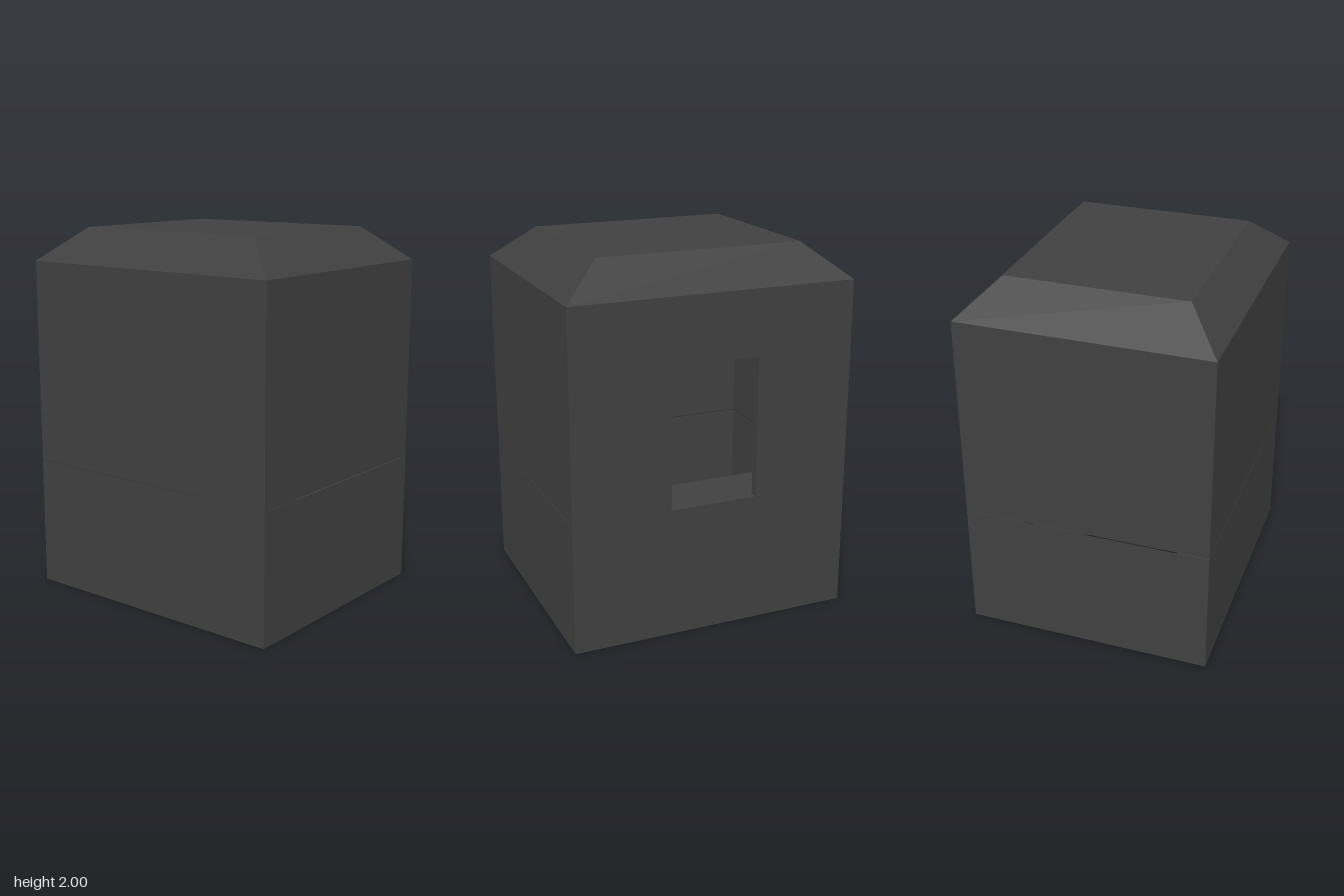
import * as THREE from 'three';

const W = 0.775, D = 0.67;        // half width and half depth
const EAVE = 1.82, SEAM = 0.705;  // wall top and joint between the storeys

export function createModel() {
  const group = new THREE.Group();
  const stone = new THREE.MeshStandardMaterial({ color: 0x404040, side: THREE.DoubleSide });
  stone.name = 'dark grey';

  const add = (name, geometry) => {
    const mesh = new THREE.Mesh(geometry, stone);
    mesh.name = name;
    group.add(mesh);
    return mesh;
  };

  // corners of a rectangle, running front, right, back, left
  const ring = (w, d, y) => [[-w, y, d], [w, y, d], [w, y, -d], [-w, y, -d]];

  // thin flat-shaded band joining two rings; a number of sides can be left open
  const band = (name, low, high, sides = [0, 1, 2, 3]) => {
    const pts = [];
    for (const i of sides) {
      const j = (i + 1) % 4;
      pts.push(low[i], low[j], high[j], low[i], high[j], high[i]);
    }
    const g = new THREE.BufferGeometry();
    g.setAttribute('position', new THREE.Float32BufferAttribute(pts.flat(), 3));
    g.computeVertexNormals();
    return add(name, g);
  };

  // walls, with a hairline joint
  band('lowerWalls', ring(W, D, 0), ring(W, D, SEAM));
  band('upperWalls', ring(W, D, SEAM + 0.004), ring(W, D, EAVE), [0, 1, 3]);

  // back wall with the opening
  const wall = new THREE.Shape([
    [-W, SEAM], [W, SEAM], [W, EAVE], [-W, EAVE],
  ].map(p => new THREE.Vector2(...p)));
  wall.holes.push(new THREE.Path([
    [-0.24, SEAM + 0.002], [-0.24, 1.47], [0.24, 1.47], [0.24, SEAM + 0.002],
  ].map(p => new THREE.Vector2(...p))));
  add('backWall', new THREE.ExtrudeGeometry(wall, { depth: 0.045, bevelEnabled: false }))
    .position.z = -D;

  // hollow bevelled roof
  band('roofSlopes', ring(W, D, EAVE), ring(0.557, 0.48, 2));
  const cap = add('roofTop', new THREE.PlaneGeometry(1.114, 0.96).rotateX(-Math.PI / 2));
  cap.position.y = 2;

  // slab whose underside runs from y0 to y1 along the given axis
  const slab = (name, x0, x1, z0, z1, y0, y1 = y0, axis = 'X', thick = 0.06) => {
    const g = new THREE.BoxGeometry(x1 - x0, thick, z1 - z0);
    g.translate((x0 + x1) / 2, thick / 2, (z0 + z1) / 2);
    const p = g.attributes.position;
    for (let i = 0; i < p.count; i++) {
      const t = axis === 'X' ? (p.getX(i) - x0) / (x1 - x0) : (p.getZ(i) - z0) / (z1 - z0);
      p.setY(i, p.getY(i) + y0 + (y1 - y0) * t);
    }
    g.computeVertexNormals();
    add(name, g);
  };

  // ramp climbing around the inside, from the bottom landing to the opening
  const ox = W - 0.003, oz = D - 0.003, ix = 0.53, iz = 0.34;
  slab('bottomLanding', -ox, ox, -oz, -iz, 0.001);
  slab('rightRamp', -ox, -ix, -iz, iz, 0.001, 0.12, 'Z');
  slab('frontRightLanding', -ox, -ix, iz, oz, 0.12);
  slab('frontRamp', -ix, ix, iz, oz, 0.12, 0.43, 'X');
  slab('frontLeftLanding', ix, ox, iz, oz, 0.43);
  slab('leftRamp', ix, ox, -iz, iz, 0.64, 0.43, 'Z');
  slab('topLanding', -ox, ox, -oz, -iz, 0.64);

  return group;
}
